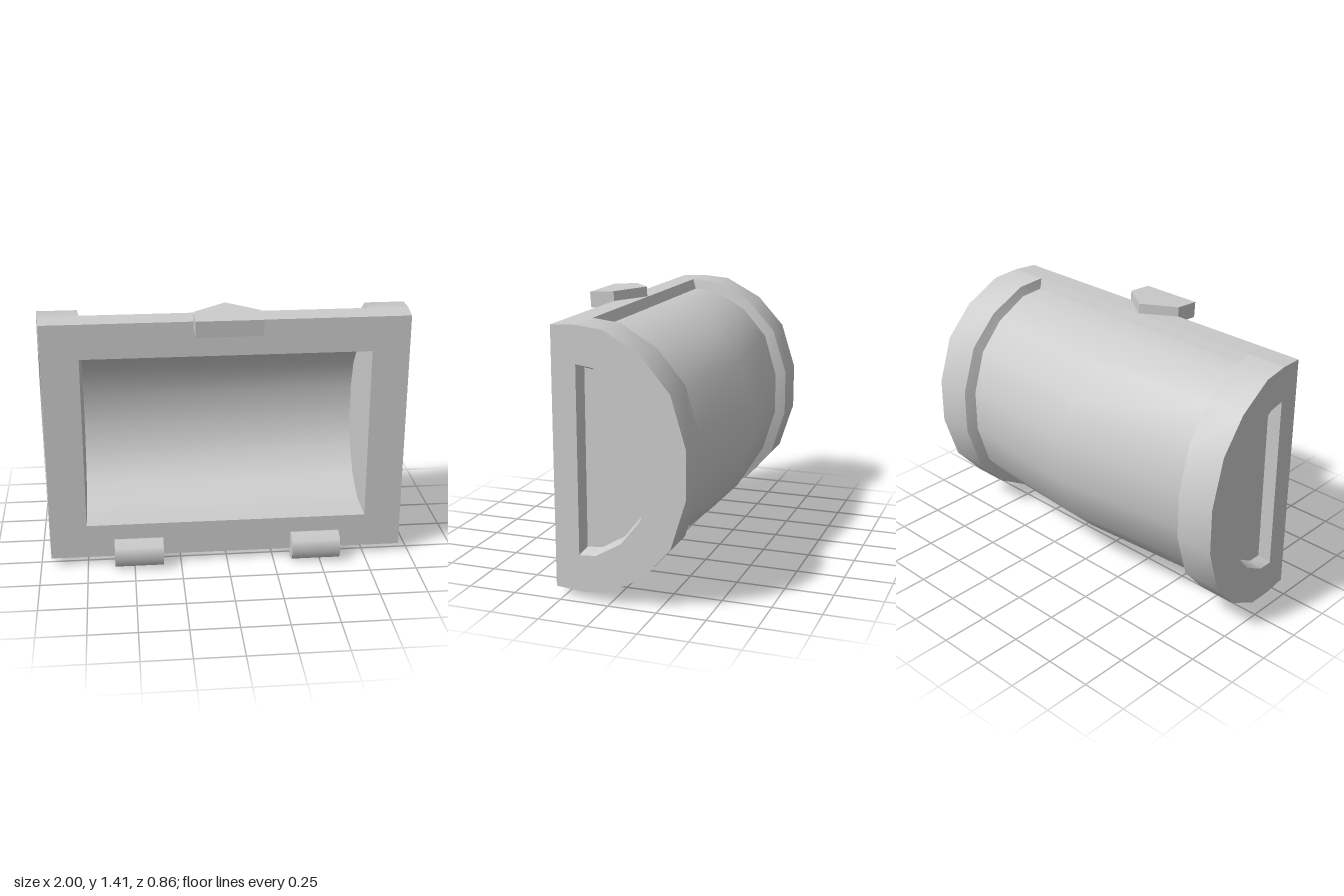
import * as THREE from 'three';
import { toCreasedNormals } from 'three/addons/utils/BufferGeometryUtils.js';

const CY = 0.697; // mid height of the D-shaped profiles

// Upper half of each profile as [z, y], from the front over the top to the back
const OUTER = mirror([[0.295, 1.35], [0.165, 1.357], [0.02, 1.343], [-0.175, 1.235], [-0.32, 1.07], [-0.398, 0.82]]);
const RECESS = mirror([[0.165, 1.17], [0.075, 1.16], [-0.06, 1.08], [-0.165, 0.95], [-0.215, 0.785]]);
const CAVITY = mirror([[0.295, 1.165], [0.165, 1.163], [0.075, 1.15], [-0.06, 1.075], [-0.16, 0.945], [-0.205, 0.785]]);

// Flared x positions: end faces, inner edge of the end bands, edge of the sunken barrel
const endX = z => 0.9685 - 0.0791 * z;
const bandX = z => 0.758 - 0.088 * z;
const barrelX = z => 0.744 - 0.061 * z;

function mirror(half) {
  return [...half, ...half.slice().reverse().map(([z, y]) => [z, 2 * CY - y])];
}

// Place a profile at an x given by a function of z
const row = (profile, xOf) => profile.map(([z, y]) => [xOf(z), y, z]);
const neg = f => z => -f(z);

// Skin neighbouring rows of points with quads
function loft(rows) {
  const p = [];
  for (let i = 0; i < rows.length - 1; i++) {
    const a = rows[i], b = rows[i + 1];
    for (let j = 0; j < a.length - 1; j++) {
      p.push(...a[j], ...b[j], ...b[j + 1], ...a[j], ...b[j + 1], ...a[j + 1]);
    }
  }
  const g = new THREE.BufferGeometry();
  g.setAttribute('position', new THREE.Float32BufferAttribute(p, 3));
  return toCreasedNormals(g, 0.7);
}

// Flat panel across a profile, facing +x (1) or -x (-1), with an optional hole
function panel(profile, hole, xOf, facing) {
  const pts = list => list.map(([z, y]) => new THREE.Vector2(-facing * z, y));
  const shape = new THREE.Shape(pts(profile));
  if (hole) shape.holes.push(new THREE.Path(pts(hole)));
  const g = new THREE.ShapeGeometry(shape);
  const pos = g.attributes.position;
  for (let i = 0; i < pos.count; i++) {
    const z = -facing * pos.getX(i);
    pos.setXYZ(i, xOf(z), pos.getY(i), z);
  }
  g.computeVertexNormals();
  return g;
}

export function createModel() {
  const group = new THREE.Group();
  const material = new THREE.MeshStandardMaterial({ color: 0xcccccc });
  const add = (name, geometry) => {
    const mesh = new THREE.Mesh(geometry, material);
    mesh.name = name;
    group.add(mesh);
    return mesh;
  };

  // Rounded back: raised end bands around a sunken barrel that bulges in the middle
  const band = OUTER.slice(1, -1);
  const sunken = band.map(([z, y]) => [0.147 + (z - 0.165) * 0.874, CY + (y - CY) * 0.917]);
  const bulge = sunken.map(([z, y]) => [0.147 + (z - 0.147) * 1.169, y]);
  add('barrelAndEndBands', loft([
    row(band, neg(endX)), row(band, neg(bandX)), row(sunken, neg(barrelX)),
    row(bulge, () => 0),
    row(sunken, barrelX), row(band, bandX), row(band, endX),
  ]));

  // Rails along the top and bottom of the front, with their step down to the barrel
  const last = band.length - 1;
  const rails = { top: [OUTER[0], band[0], sunken[0]], bottom: [OUTER[last + 2], band[last], sunken[last]] };
  for (const [name, [front, edge, low]] of Object.entries(rails)) {
    const order = pts => (name === 'top' ? pts : pts.reverse());
    add(name + 'Rail', loft([neg(endX), endX].map(f => row(order([front, edge]), f))));
    const step = s => order([[s * bandX(edge[0]), edge[1], edge[0]], [s * barrelX(low[0]), low[1], low[0]]]);
    add(name + 'RailStep', loft([step(-1), step(1)]));
  }

  // End faces with shallow D-shaped recesses
  const floorProfile = RECESS.map(([z, y]) => [0.148 + (z - 0.165) * 0.917, CY + (y - CY) * 0.948]);
  const floorX = z => endX(z) - 0.065;
  const closed = list => [...list, list[0]];
  for (const s of [1, -1]) {
    const side = s > 0 ? 'left' : 'right';
    const at = f => z => s * f(z);
    add(side + 'EndFace', panel(OUTER, RECESS, at(endX), s));
    const rows = [row(closed(RECESS), at(endX)), row(closed(floorProfile), at(floorX))];
    add(side + 'RecessWall', loft(s > 0 ? rows : rows.reverse()));
    add(side + 'RecessFloor', panel(floorProfile, null, at(floorX), s));
    add(side + 'CavityWall', panel(CAVITY, null, () => s * 0.75, -s));
  }

  // Front frame around the opening
  const rect = (w, y0, y1) => [[-w, y0], [w, y0], [w, y1], [-w, y1]].map(p => new THREE.Vector2(...p));
  const frame = new THREE.Shape(rect(endX(0.295), 2 * CY - 1.35, 1.35));
  frame.holes.push(new THREE.Path(rect(0.75, 2 * CY - 1.165, 1.165)));
  add('frontFrame', new THREE.ShapeGeometry(frame).translate(0, 0, 0.295));

  // Hollow inside
  add('cavity', loft([row(CAVITY, () => 0.75), row(CAVITY, () => -0.75)]));

  // Hinge barrels under the front
  for (const s of [1, -1]) {
    const hinge = add(s > 0 ? 'leftHinge' : 'rightHinge', new THREE.CylinderGeometry(0.077, 0.077, 0.26, 8));
    hinge.rotation.set(0.07, 0, Math.PI / 2);
    hinge.position.set(s * 0.475, 0.077, 0.32);
  }

  // Pointed latch, tilted slightly up towards the back
  const outline = [[-0.17, 0], [0.17, 0], [0.17, 0.135], [0, 0.257], [-0.17, 0.135]];
  const latch = add('latch', new THREE.ExtrudeGeometry(
    new THREE.Shape(outline.map(p => new THREE.Vector2(...p))), { depth: 0.085, bevelEnabled: false }));
  latch.rotation.x = -Math.PI / 2 + 0.07;
  latch.position.set(0, 1.307, 0.425);

  return group;
}
